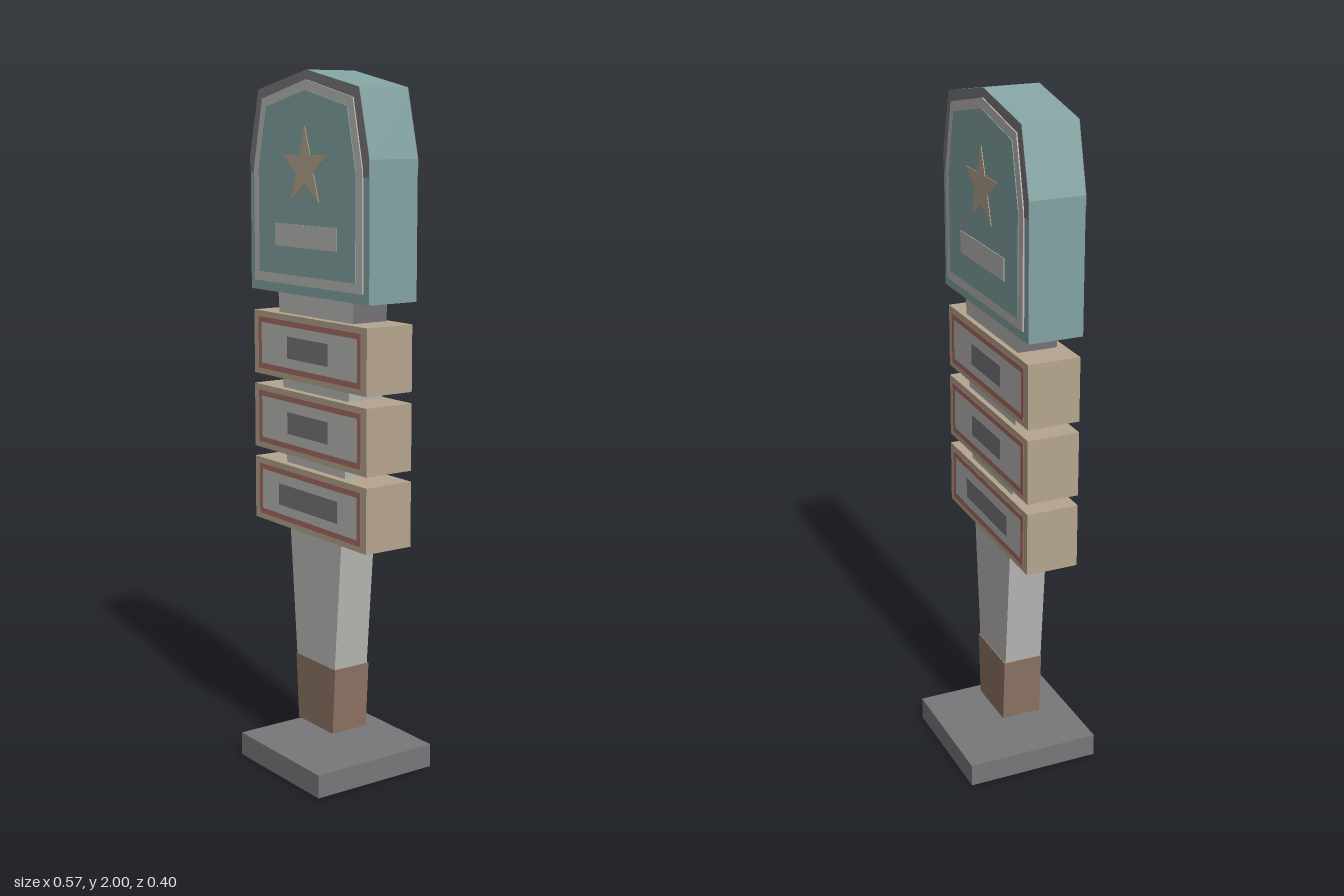
import * as THREE from 'three';

const mat = (name, color, side = THREE.FrontSide) =>
  Object.assign(new THREE.MeshStandardMaterial({ color, side }), { name });

// Symmetric outline from its right-hand points, listed bottom to top
function mirrored(points) {
  const left = points.filter(([x]) => x > 0).map(([x, y]) => [-x, y]).reverse();
  return [...points, ...left].map(([x, y]) => new THREE.Vector2(x, y));
}

const rect = (hw, y0, y1) => mirrored([[hw, y0], [hw, y1]]);

export function createModel() {
  const model = new THREE.Group();
  model.name = 'tapHandle';

  const teal = mat('teal', 0x82a3a2);
  const lightGrey = mat('lightGrey', 0xbab9b6);
  const darkGrey = mat('darkGrey', 0x78767a, THREE.DoubleSide);
  const tan = mat('tan', 0xb5a58e);
  const red = mat('red', 0xa76c62);
  const brown = mat('brown', 0x8d7464);

  // Slab with the given outline between two depths
  function slab(name, outline, z0, z1, material, hole) {
    const shape = new THREE.Shape(outline);
    if (hole) shape.holes.push(new THREE.Path(hole));
    const geometry = new THREE.ExtrudeGeometry(shape, { depth: z1 - z0, bevelEnabled: false });
    geometry.translate(0, 0, z0);
    const mesh = new THREE.Mesh(geometry, material);
    mesh.name = name;
    model.add(mesh);
  }

  // Thin matching plates on the front and back faces
  function plates(name, outline, front, back, lift, material, hole) {
    slab(name + 'Front', outline, front, front + lift, material, hole);
    slab(name + 'Back', outline, back - lift, back, material, hole);
  }

  // Hollow base, open underneath
  const baseGeometry = new THREE.BoxGeometry(0.4, 0.068, 0.4);
  const index = Array.from(baseGeometry.index.array);
  index.splice(18, 6);
  baseGeometry.setIndex(index);
  baseGeometry.clearGroups();
  const base = new THREE.Mesh(baseGeometry, darkGrey);
  base.name = 'base';
  base.position.y = 0.034;
  model.add(base);

  // Tapered handle: grip, shaft and neck
  slab('grip', mirrored([[0.086, 0.125], [0.098, 0.32]]), -0.049, 0.07, brown);
  slab('shaft', mirrored([[0.095, 0.32], [0.178, 1.315]]), -0.045, 0.069, lightGrey);
  slab('neck', mirrored([[0.178, 1.315], [0.184, 1.39]]), -0.045, 0.069, [lightGrey, darkGrey]);

  // Three sign boxes with a red border, pale panel and dark label
  const signs = [
    { y: 1.231, h: 0.185, label: 0.1 },
    { y: 1.013, h: 0.188, label: 0.1 },
    { y: 0.796, h: 0.185, label: 0.145 },
  ];
  signs.forEach(({ y, h, label }, i) => {
    const n = i + 1;
    const at = (hw, height) => rect(hw, y - height / 2, y + height / 2);
    const front = 0.093, back = -0.06;
    slab('signBox' + n, at(0.275, h), back, front, tan);
    plates('signBorder' + n, at(0.25, h - 0.034), front, back, 0.002, red, at(0.234, h - 0.066));
    plates('signPanel' + n, at(0.234, h - 0.066), front, back, 0.002, lightGrey);
    plates('signLabel' + n, at(label, 0.063), front, back, 0.004, darkGrey);
  });

  // Badge-shaped head
  const front = 0.094, back = -0.065;
  const outer = [[0.286, 1.385], [0.286, 1.765], [0.24, 1.951], [0, 2]];
  const rim = [[0.26, 1.412], [0.26, 1.735], [0.217, 1.925], [0, 1.974]];
  const inner = [[0.233, 1.439], [0.233, 1.73], [0.194, 1.902], [0, 1.946]];
  slab('head', mirrored(outer), back, front, teal);

  // Dark band over the upper edge of the head
  const arch = [[0.286, 1.718], ...outer.slice(1)];
  const underside = [[0.26, 1.718], ...rim.slice(1)];
  const v = ([x, y]) => new THREE.Vector2(x, y);
  const flip = ([x, y]) => [-x, y];
  const band = [
    ...arch, ...arch.slice(0, -1).reverse().map(flip),
    ...underside.slice(0, -1).map(flip), ...underside.slice().reverse(),
  ].map(v);
  plates('topBand', band, front, back, 0.0015, darkGrey);

  // Pale frame and raised inner panel
  plates('headFrame', mirrored(rim), front, back, 0.005, lightGrey, mirrored(inner));
  plates('headPanel', mirrored(inner), front, back, 0.007, teal);

  // Star and bar emblem
  const star = Array.from({ length: 10 }, (_, i) => {
    const r = i % 2 ? 0.044 : 0.112, a = Math.PI / 2 + i * Math.PI / 5;
    return new THREE.Vector2(r * Math.cos(a), 1.737 + r * Math.sin(a));
  });
  plates('star', star, front, back, 0.009, tan);
  plates('bar', rect(0.149, 1.518, 1.581), front, back, 0.009, lightGrey);

  return model;
}
